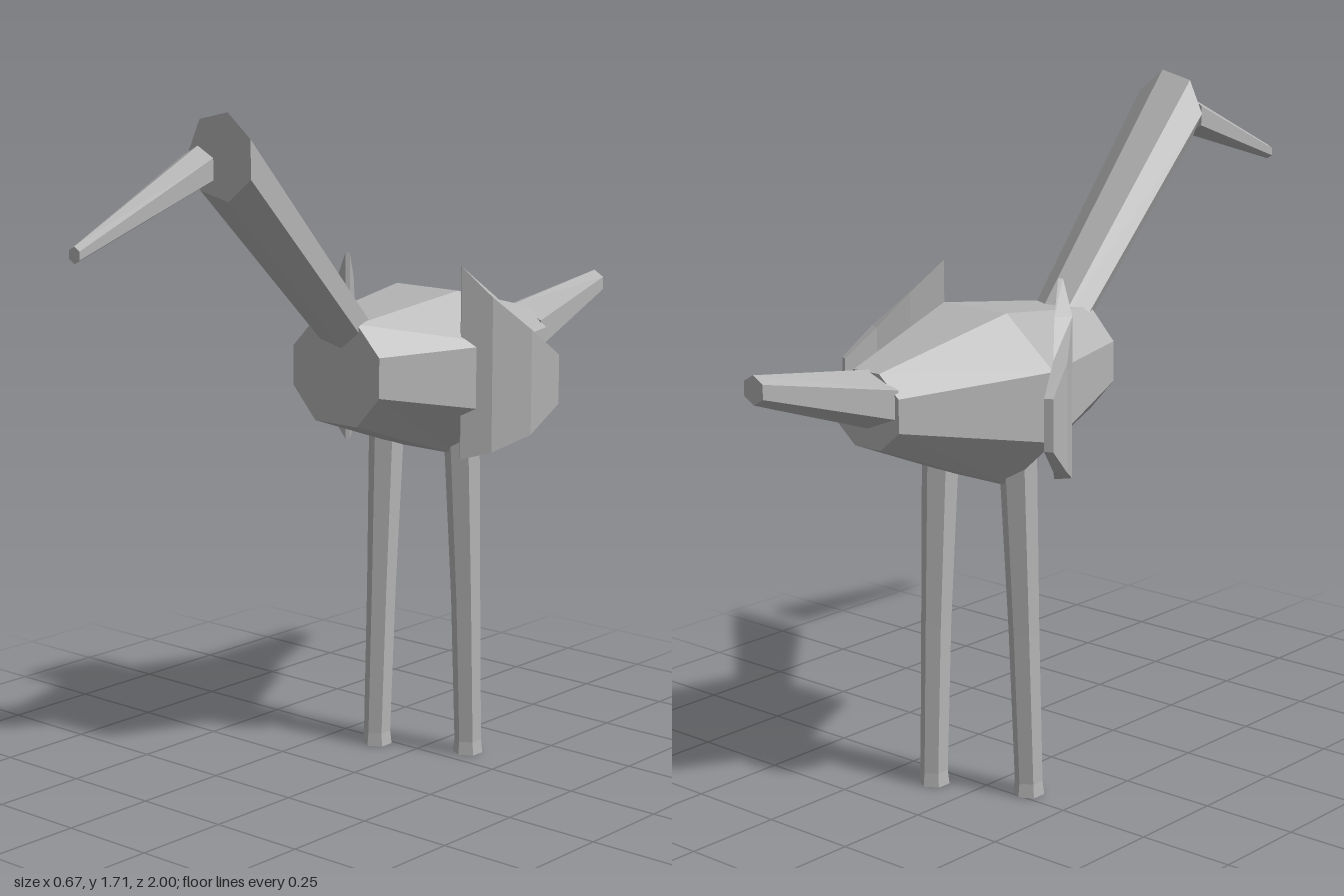
import * as THREE from 'three';

const grey = new THREE.MeshStandardMaterial({ color: 0xb4b4b4 });
grey.name = 'plain grey';

// Flat-shaded closed skin over cross-sections that all have the same point count
function loft(name, rings) {
  const pos = [];
  const tri = (...corners) => corners.forEach((p) => pos.push(...p));
  const n = rings[0].length;
  for (let r = 0; r < rings.length - 1; r++) {
    const a = rings[r], b = rings[r + 1];
    for (let i = 0; i < n; i++) {
      const j = (i + 1) % n;
      tri(a[i], a[j], b[j]);
      tri(a[i], b[j], b[i]);
    }
  }
  const first = rings[0], last = rings[rings.length - 1];
  for (let i = 1; i < n - 1; i++) {
    tri(first[0], first[i + 1], first[i]);
    tri(last[0], last[i], last[i + 1]);
  }
  const geo = new THREE.BufferGeometry();
  geo.setAttribute('position', new THREE.Float32BufferAttribute(pos, 3));
  geo.computeVertexNormals();
  const mesh = new THREE.Mesh(geo, grey);
  mesh.name = name;
  return mesh;
}

// Regular ring facing +z
function ringZ(n, start, x, y, z, rx, ry = rx) {
  return Array.from({ length: n }, (_, i) => {
    const t = start + (i / n) * Math.PI * 2;
    return [x + rx * Math.cos(t), y + ry * Math.sin(t), z];
  });
}

// Regular ring facing +y
function ringY(n, x, y, z, r) {
  return Array.from({ length: n }, (_, i) => {
    const t = (i / n) * Math.PI * 2 + Math.PI / 6;
    return [x + r * Math.cos(t), y, z - r * Math.sin(t)];
  });
}

// Eight-sided body section: outer and inner half widths, four heights
function bodyRing(z, w, v, y0, y1, y2, y3) {
  return [[w, y1, z], [w, y2, z], [v, y3, z], [-v, y3, z],
    [-w, y2, z], [-w, y1, z], [-v, y0, z], [v, y0, z]];
}

// Curved wing plate; each section gives outer and inner x/z, top and bottom
function wing(name, side) {
  const sections = [
    [0.19, -0.182, 0.182, -0.19, 1.30, 0.815],
    [0.255, -0.225, 0.23, -0.26, 1.225, 0.835],
    [0.312, -0.31, 0.282, -0.325, 1.14, 0.875],
    [0.337, -0.39, 0.318, -0.40, 1.07, 0.945],
  ];
  const rings = sections.map(([ox, oz, ix, iz, top, bottom]) => {
    const ring = [[side * ox, top, oz], [side * ox, bottom, oz],
      [side * ix, bottom, iz], [side * ix, top, iz]];
    return side > 0 ? ring : ring.reverse();
  });
  return loft(name, rings);
}

// Tapered leg with a slight knee and a flared foot
function leg(name, x, topX, topZ, footZ) {
  const kneeZ = footZ * 0.6 + topZ * 0.4;
  return loft(name, [
    ringY(6, x, 0, footZ, 0.039),
    ringY(6, x, 0.035, footZ, 0.035),
    ringY(6, x, 0.42, kneeZ, 0.038),
    ringY(6, topX, 0.9, topZ, 0.047),
  ]);
}

export function createModel() {
  const model = new THREE.Group();
  model.name = 'wadingBird';

  // Trunk
  model.add(loft('body', [
    bodyRing(-0.65, 0.1, 0.04, 0.95, 1.0, 1.08, 1.13),
    bodyRing(-0.28, 0.245, 0.1, 0.8, 0.93, 1.1, 1.22),
    bodyRing(0.07, 0.14, 0.068, 0.92, 1.0, 1.1, 1.175),
  ]));

  // Neck and the separate bill ahead of it
  model.add(loft('neck', [
    ringZ(7, Math.PI, -0.006, 1.07, -0.05, 0.075),
    ringZ(7, Math.PI, 0.022, 1.61, 0.49, 0.105),
  ]));
  model.add(loft('beak', [
    ringZ(6, Math.PI / 6, 0.028, 1.592, 0.57, 0.056, 0.05),
    ringZ(6, Math.PI / 6, 0.078, 1.443, 1.0, 0.019),
  ]));

  // Tail
  model.add(loft('tail', [
    ringZ(6, Math.PI / 6, 0, 1.15, -1.0, 0.034),
    ringZ(6, Math.PI / 6, 0, 1.063, -0.64, 0.104, 0.07),
  ]));

  model.add(wing('leftWing', 1), wing('rightWing', -1));
  model.add(leg('leftLeg', 0.113, 0.11, -0.285, -0.32));
  model.add(leg('rightLeg', -0.113, -0.115, -0.26, -0.22));
  return model;
}
